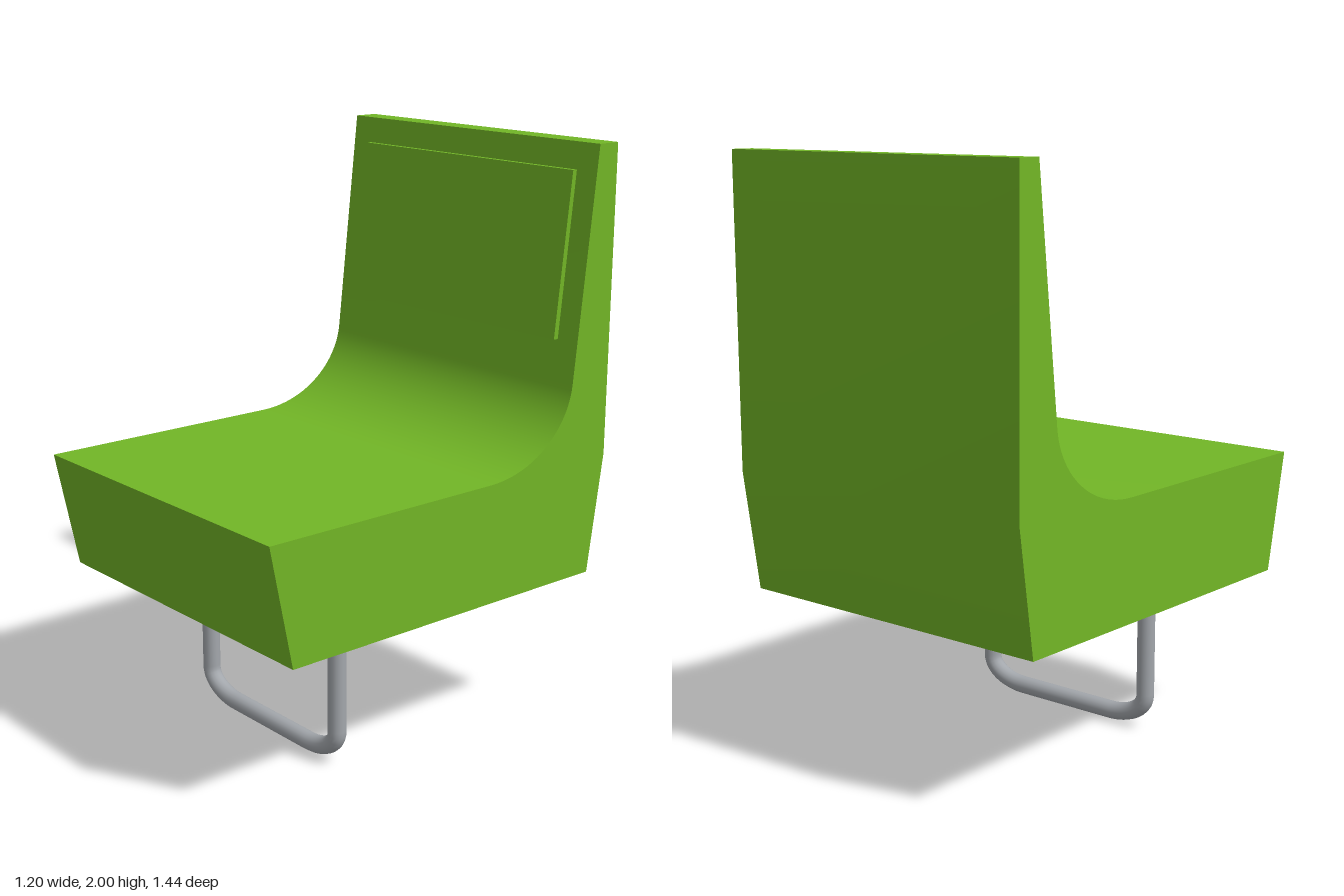
import * as THREE from 'three';
import { toCreasedNormals } from 'three/addons/utils/BufferGeometryUtils.js';

// Extrude a side profile drawn in (z, y) across the width, centred on x = 0
function extrudeAcross(shape, width) {
  const geometry = new THREE.ExtrudeGeometry(shape, { depth: width, bevelEnabled: false, curveSegments: 20 });
  geometry.rotateY(-Math.PI / 2);
  geometry.translate(width / 2, 0, 0);
  return toCreasedNormals(geometry, 0.3);
}

export function createModel() {
  const group = new THREE.Group();

  const green = new THREE.MeshStandardMaterial({ color: 0x72b626 });
  green.name = 'green upholstery';
  const steel = new THREE.MeshStandardMaterial({ color: 0xa3a7ac });
  steel.name = 'grey steel';

  const add = (name, geometry, material) => {
    const mesh = new THREE.Mesh(geometry, material);
    mesh.name = name;
    group.add(mesh);
  };

  // Seat and backrest in one body, joined by a scooped curve
  const body = new THREE.Shape();
  body.moveTo(0.635, 0.535);
  body.lineTo(0.72, 0.945);
  body.lineTo(-0.18, 0.945);
  body.bezierCurveTo(-0.38, 0.945, -0.535, 1.07, -0.55, 1.22);
  body.lineTo(-0.635, 2);
  body.lineTo(-0.72, 2);
  body.lineTo(-0.72, 0.95);
  body.lineTo(-0.658, 0.535);
  body.closePath();
  add('seatBody', extrudeAcross(body, 1.195), green);

  // Raised pad on the front of the backrest
  const pad = new THREE.Shape();
  pad.moveTo(-0.546, 1.355);
  pad.lineTo(-0.608, 1.91);
  pad.lineTo(-0.63, 1.91);
  pad.lineTo(-0.57, 1.355);
  pad.closePath();
  add('backPad', extrudeAcross(pad, 1.02), green);

  // Bent tube leg: two uprights joined by a bar at the floor
  const point = (x, y) => new THREE.Vector3(x, y, 0.255);
  const path = new THREE.CurvePath();
  path.add(new THREE.LineCurve3(point(-0.35, 0.56), point(-0.35, 0.12)));
  path.add(new THREE.CubicBezierCurve3(point(-0.35, 0.12), point(-0.35, 0.07), point(-0.28, 0.034), point(-0.2, 0.034)));
  path.add(new THREE.LineCurve3(point(-0.2, 0.034), point(0.2, 0.034)));
  path.add(new THREE.CubicBezierCurve3(point(0.2, 0.034), point(0.28, 0.034), point(0.35, 0.07), point(0.35, 0.12)));
  path.add(new THREE.LineCurve3(point(0.35, 0.12), point(0.35, 0.56)));
  add('tubeLeg', new THREE.TubeGeometry(path, 96, 0.031, 16), steel);

  return group;
}
